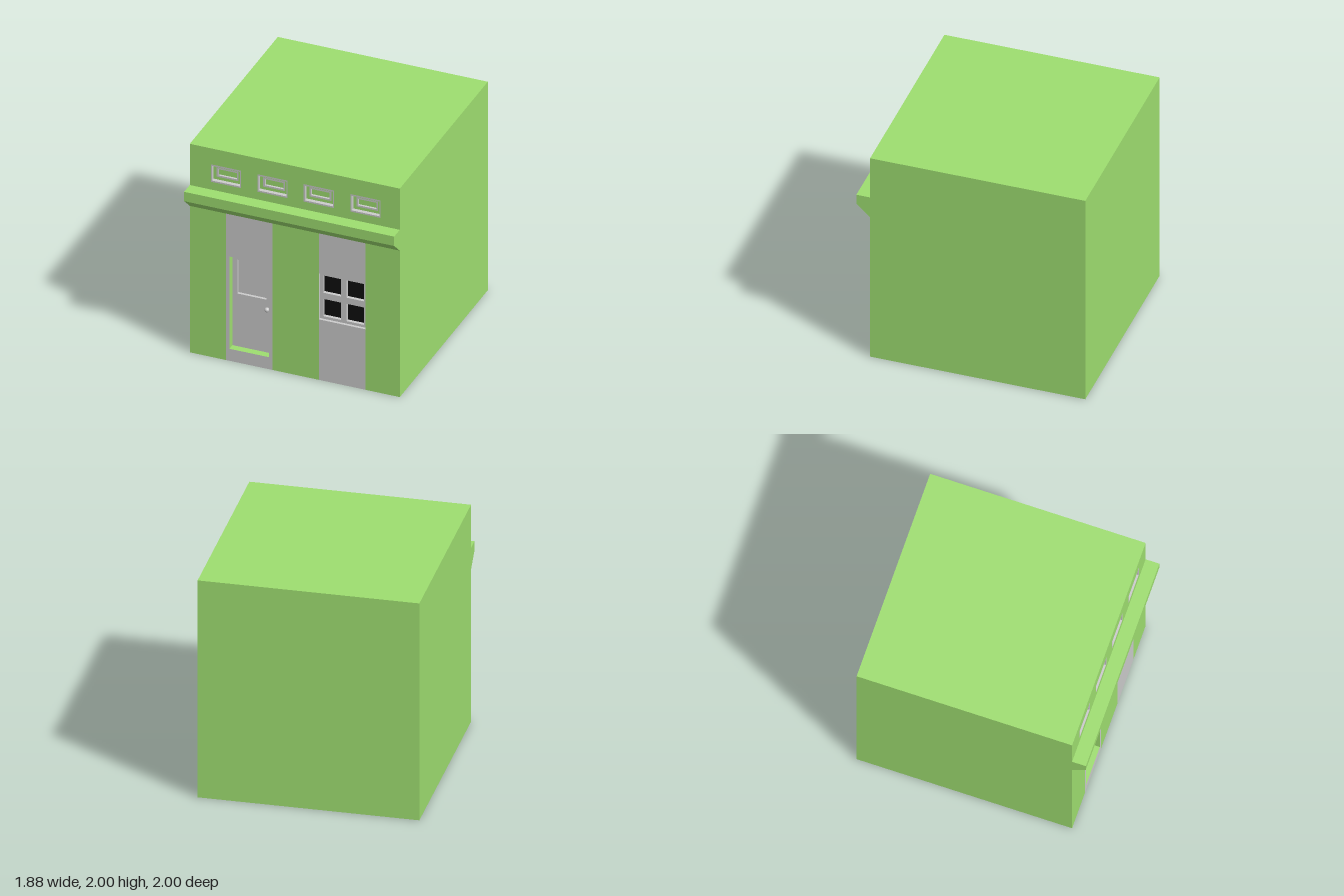
import * as THREE from 'three';

const green = new THREE.MeshStandardMaterial({ color: 0x9ede70, flatShading: true });
const grey = new THREE.MeshStandardMaterial({ color: 0xcccccc, flatShading: true });
const black = new THREE.MeshStandardMaterial({ color: 0x0e0e0e, flatShading: true });

const W = 0.94, H = 2, BACK = -1, FRONT = 0.88;

// Rectangles are [x0, x1, y0, y1]
const centred = (x, y, hw, hh) => [x - hw, x + hw, y - hh, y + hh];

function add(parent, name, geometry, material) {
  const mesh = new THREE.Mesh(geometry, material);
  mesh.name = name;
  parent.add(mesh);
  return mesh;
}

function trace(path, [x0, x1, y0, y1]) {
  path.moveTo(x0, y0);
  path.lineTo(x1, y0);
  path.lineTo(x1, y1);
  path.lineTo(x0, y1);
  path.closePath();
  return path;
}

// Flat front-facing panel with rectangular openings
function panel(parent, name, rect, z, material, holes = []) {
  const shape = trace(new THREE.Shape(), rect);
  shape.holes = holes.map((h) => trace(new THREE.Path(), h));
  const geometry = new THREE.ShapeGeometry(shape);
  geometry.translate(0, 0, z);
  return add(parent, name, geometry, material);
}

// Four inward-facing walls of a recess running from z0 (front) to z1 (back)
function reveal(parent, name, [x0, x1, y0, y1], z0, z1, material) {
  const box = new THREE.BoxGeometry(x1 - x0, y1 - y0, z0 - z1);
  const index = Array.from(box.index.array).slice(0, 24).reverse();
  box.setIndex(index);
  box.clearGroups();
  const geometry = box.toNonIndexed();
  geometry.computeVertexNormals();
  geometry.translate((x0 + x1) / 2, (y0 + y1) / 2, (z0 + z1) / 2);
  return add(parent, name, geometry, material);
}

export function createModel() {
  const model = new THREE.Group();
  model.name = 'shopBuilding';

  // Sides, roof, floor and back; the front is left open for the facade
  const shell = new THREE.BoxGeometry(2 * W, H, FRONT - BACK);
  const index = Array.from(shell.index.array);
  shell.setIndex([...index.slice(0, 24), ...index.slice(30)]);
  shell.clearGroups();
  shell.translate(0, H / 2, (FRONT + BACK) / 2);
  add(model, 'buildingShell', shell, green);

  // Cornice across the facade, sloped underneath
  const profile = new THREE.Shape([
    [FRONT, 1.405], [1, 1.515], [1, 1.605], [FRONT, 1.605],
  ].map(([z, y]) => new THREE.Vector2(-z, y)));
  const cornice = new THREE.ExtrudeGeometry(profile, { depth: 2 * W, bevelEnabled: false });
  cornice.rotateY(Math.PI / 2);
  cornice.translate(-W, 0, 0);
  add(model, 'cornice', cornice, green);

  // Lower facade: green walls alternating with grey strips
  const doorRect = [-0.585, -0.23, 0.115, 1];
  const windowRect = [0.215, 0.635, 0.58, 1.02];
  const xs = [-W, -0.615, -0.2, 0.215, 0.635, W];
  for (let i = 0; i < 5; i++) {
    const rect = [xs[i], xs[i + 1], 0, 1.405];
    if (i === 1) {
      panel(model, 'doorStrip', rect, FRONT, grey, [doorRect]);
    } else if (i === 3) {
      // Strip is split below and above the full-width window
      panel(model, 'windowStripLower', [xs[3], xs[4], 0, windowRect[2]], FRONT, grey);
      panel(model, 'windowStripUpper', [xs[3], xs[4], windowRect[3], 1.405], FRONT, grey);
    } else {
      panel(model, 'wallStrip', rect, FRONT, green);
    }
  }

  // Door with an inset upper panel and a knob
  const door = new THREE.Group();
  door.name = 'door';
  model.add(door);
  const doorZ = FRONT - 0.065;
  const inset = [-0.54, -0.28, 0.62, 0.945];
  reveal(door, 'doorReveal', doorRect, FRONT, doorZ, green);
  panel(door, 'doorLeaf', doorRect, doorZ, grey, [inset]);
  reveal(door, 'insetReveal', inset, doorZ, doorZ - 0.025, grey);
  panel(door, 'insetPanel', inset, doorZ - 0.025, grey);
  const knob = add(door, 'doorKnob', new THREE.SphereGeometry(0.021, 16, 12),
    new THREE.MeshStandardMaterial({ color: 0xcccccc }));
  knob.position.set(-0.27, 0.535, doorZ + 0.018);

  // Four-pane window
  const win = new THREE.Group();
  win.name = 'window';
  model.add(win);
  const winZ = FRONT - 0.025;
  const panes = [];
  for (const x of [0.323, 0.532]) {
    for (const y of [0.687, 0.912]) panes.push(centred(x, y, 0.078, 0.083));
  }
  reveal(win, 'windowReveal', windowRect, FRONT, winZ, grey);
  panel(win, 'windowFrame', windowRect, winZ, grey, panes);
  for (const pane of panes) {
    reveal(win, 'paneReveal', pane, winZ, winZ - 0.03, grey);
    panel(win, 'pane', pane, winZ - 0.03, black);
  }

  // Upper facade with a row of four stepped vents
  const vents = [];
  for (const x of [-0.617, -0.2, 0.215, 0.634]) {
    const [trim, outer, inner, centre] = [[0.135, 0.084], [0.125, 0.07], [0.098, 0.045], [0.083, 0.03]]
      .map(([hw, hh]) => centred(x, 1.763, hw, hh));
    vents.push(trim);
    const vent = new THREE.Group();
    vent.name = 'vent';
    model.add(vent);
    const z1 = FRONT - 0.035, z2 = z1 - 0.02;
    panel(vent, 'ventTrim', trim, FRONT, grey, [outer]);
    reveal(vent, 'ventReveal', outer, FRONT, z1, grey);
    panel(vent, 'ventStep', outer, z1, green, [inner]);
    panel(vent, 'ventInnerTrim', inner, z1, grey, [centre]);
    reveal(vent, 'ventInnerReveal', centre, z1, z2, grey);
    panel(vent, 'ventBack', centre, z2, green);
  }
  panel(model, 'upperWall', [-W, W, 1.605, H], FRONT, green, vents);

  return model;
}
